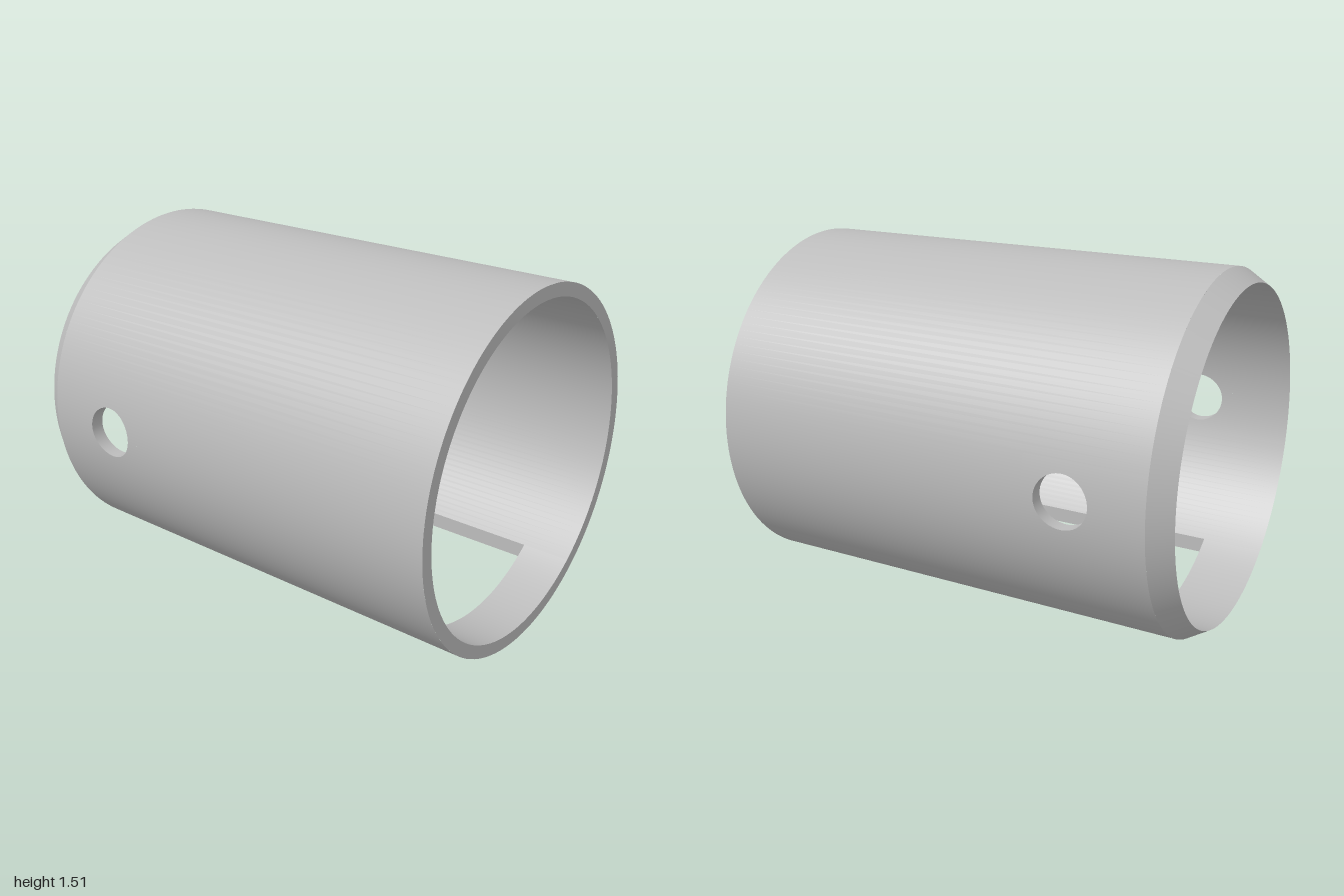
import * as THREE from 'three';
import { mergeGeometries } from 'three/addons/utils/BufferGeometryUtils.js';

const OUT = 0.754, INN = 0.698;            // wall radii, axis along x
const X0 = -1, XC = -0.91, X1 = 1;         // ends and start of the chamfer
const SLOT = { x0: -0.74, x1: 0.79, z: 0.4 };
const HOLE = { x: -0.577, r: 0.11, box: 0.16 };
const lerp = THREE.MathUtils.lerp;

// Grid patch from f(u, v) -> [x, y, z], facing along the normal rule n(x, y, z)
function patch(f, n, nu, nv) {
  const pos = [], nor = [], idx = [];
  for (let j = 0; j <= nv; j++) for (let i = 0; i <= nu; i++) {
    const p = f(i / nu, j / nv);
    pos.push(...p);
    nor.push(...new THREE.Vector3(...n(...p)).normalize().toArray());
  }
  const V = (a, k) => new THREE.Vector3().fromArray(a, k * 3);
  const a = V(pos, 0);
  const face = V(pos, 1).sub(a).cross(V(pos, nu + 2).sub(a));
  const flip = face.dot(V(nor, 0)) < 0;
  for (let j = 0; j < nv; j++) for (let i = 0; i < nu; i++) {
    const k = j * (nu + 1) + i, l = k + nu + 1;
    idx.push(...(flip ? [k, l + 1, k + 1, k, l, l + 1] : [k, k + 1, l + 1, k, l + 1, l]));
  }
  const g = new THREE.BufferGeometry();
  g.setAttribute('position', new THREE.Float32BufferAttribute(pos, 3));
  g.setAttribute('normal', new THREE.Float32BufferAttribute(nor, 3));
  g.setIndex(idx);
  return g;
}

// Cylinder skin of radius r with the side holes and the bottom slot left open
function skin(r, xl, sign) {
  const n = (x, y, z) => [0, sign * y, sign * z];
  const s = Math.asin(SLOT.z / r), q = Math.asin(HOLE.box / r), m = Math.PI / 2;
  const parts = [];
  for (const side of [1, -1]) {
    // a is the angle from the bottom
    const band = (xa, xb, a0, a1, seg) => parts.push(patch((u, v) => {
      const a = lerp(a0, a1, u);
      return [lerp(xa, xb, v), -r * Math.cos(a), side * r * Math.sin(a)];
    }, n, seg, 1));
    band(xl, SLOT.x0, 0, s, 16);
    band(SLOT.x1, X1, 0, s, 16);
    band(xl, X1, s, m - q, 20);
    band(xl, HOLE.x - HOLE.box, m - q, m + q, 16);
    band(HOLE.x + HOLE.box, X1, m - q, m + q, 16);
    band(xl, X1, m + q, Math.PI, 32);
    // square surround of the hole
    parts.push(patch((u, v) => {
      const c = Math.cos(u * 2 * Math.PI), d = Math.sin(u * 2 * Math.PI);
      const k = lerp(HOLE.r, HOLE.box / Math.max(Math.abs(c), Math.abs(d)), v);
      const y = k * d;
      return [HOLE.x + k * c, y, side * Math.sqrt(r * r - y * y)];
    }, n, 64, 4));
  }
  return mergeGeometries(parts);
}

// Full ring between two circles (rim or cone)
function ring(xa, ra, xb, rb, n) {
  return patch((u, v) => {
    const a = u * 2 * Math.PI, r = lerp(ra, rb, v);
    return [lerp(xa, xb, v), -r * Math.cos(a), r * Math.sin(a)];
  }, n, 128, 1);
}

export function createModel() {
  const group = new THREE.Group();
  const grey = new THREE.MeshStandardMaterial({ color: 0xbcbcbc });
  grey.name = 'light grey';
  const add = (name, geometry) => {
    const mesh = new THREE.Mesh(geometry, grey);
    mesh.name = name;
    mesh.position.y = OUT;
    group.add(mesh);
  };

  add('outerWall', skin(OUT, XC, 1));
  add('innerWall', skin(INN, X0, -1));

  // Chamfer narrowing to a thin lip, and the flat rim at the other end
  const slope = (OUT - INN) / (XC - X0);
  add('chamfer', ring(X0, INN, XC, OUT, (x, y, z) => [-slope * Math.hypot(y, z), y, z]));
  add('endRim', ring(X1, INN, X1, OUT, () => [1, 0, 0]));

  // Wall thickness inside the two side holes
  const wallAt = (h, v) => Math.sqrt(lerp(INN, OUT, v) ** 2 - h * h);
  const bores = [1, -1].map(side => patch((u, v) => {
    const a = u * 2 * Math.PI, y = HOLE.r * Math.sin(a);
    const z = lerp(wallAt(y, 0), wallAt(y, 1), v);
    return [HOLE.x + HOLE.r * Math.cos(a), y, side * z];
  }, (x, y) => [HOLE.x - x, -y, 0], 64, 1));
  add('holeEdges', mergeGeometries(bores));

  // Wall thickness around the bottom slot: two long sides and two ends
  const sides = [1, -1].map(side => patch(
    (u, v) => [lerp(SLOT.x0, SLOT.x1, u), -wallAt(SLOT.z, v), side * SLOT.z],
    () => [0, 0, -side], 1, 1));
  const ends = [[SLOT.x0, 1], [SLOT.x1, -1]].map(([x, dir]) => patch((u, v) => {
    const z = lerp(-SLOT.z, SLOT.z, u);
    return [x, -wallAt(z, v), z];
  }, () => [dir, 0, 0], 32, 1));
  add('slotEdges', mergeGeometries([...sides, ...ends]));

  return group;
}
